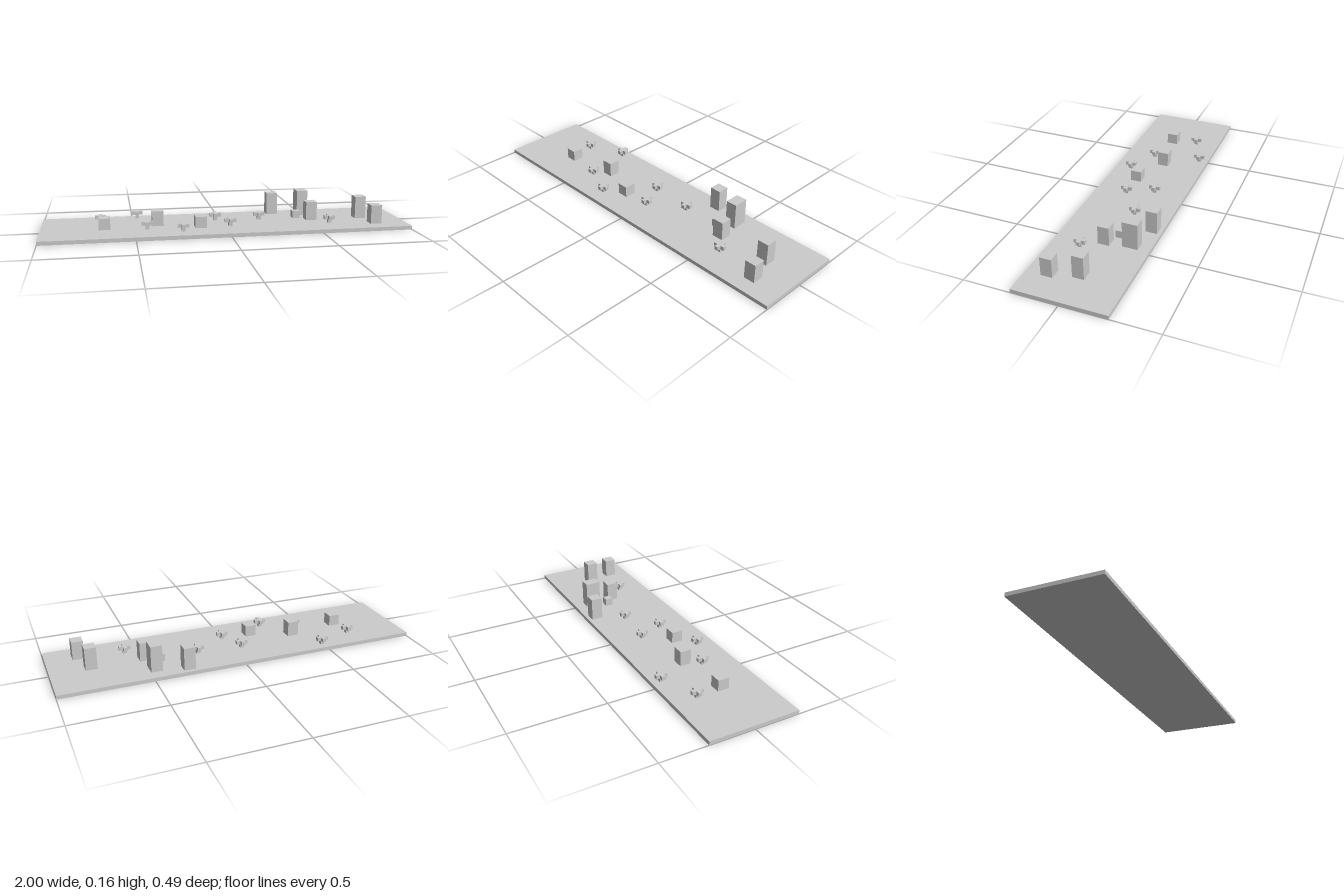
import * as THREE from 'three';

const U = 2 / 97; // one grid cell
const material = new THREE.MeshStandardMaterial({ color: 0xcccccc, flatShading: true });

// Box given in cells: centre x and z, bottom y, size
function box(name, x, y, z, w, h, d) {
  const mesh = new THREE.Mesh(new THREE.BoxGeometry(w * U, h * U, d * U), material);
  mesh.name = name;
  mesh.position.set(x * U, (y + h / 2) * U, z * U);
  return mesh;
}

// Plus-shaped slab, one cell thick, three cells across
function crownGeometry() {
  const a = U / 2, b = U * 1.5;
  const outline = [[a, -b], [a, -a], [b, -a], [b, a], [a, a], [a, b],
    [-a, b], [-a, a], [-b, a], [-b, -a], [-a, -a], [-a, -b]];
  const shape = new THREE.Shape(outline.map(([x, y]) => new THREE.Vector2(x, y)));
  const geometry = new THREE.ExtrudeGeometry(shape, { depth: U, bevelEnabled: false });
  return geometry.rotateX(-Math.PI / 2);
}

export function createModel() {
  const model = new THREE.Group();
  model.name = 'cityBlock';
  model.add(box('ground', 0, 0, 0, 97, 1, 24));

  // Buildings: x, z, width, height, depth
  const buildings = [
    [-32, 1.5, 3, 3, 3], [-18, -0.5, 3, 4, 3], [-7, 3.5, 3, 3, 3],
    [15, -9.5, 3, 6, 3], [23, -7, 3, 7, 4], [24, -0.5, 3, 5, 3],
    [38, -0.5, 3, 6, 3], [40, 6.5, 3, 5, 3],
  ];
  for (const [x, z, w, h, d] of buildings) model.add(box('building', x, 1, z, w, h, d));
  model.add(box('shed', 20.5, 1, -3, 2, 2, 2));

  // Trees: one-cell trunk under a plus-shaped crown
  const crown = crownGeometry();
  const trees = [[-33, -5.5], [-23, -9.5], [-21, 3.5], [-12, 7.5],
    [-2, -3.5], [1, 3.5], [10, -2.5], [28, 4.5]];
  for (const [x, z] of trees) {
    const tree = new THREE.Group();
    tree.name = 'tree';
    const leaves = new THREE.Mesh(crown, material);
    leaves.name = 'crown';
    leaves.position.y = 2 * U;
    tree.add(box('trunk', 0, 1, 0, 1, 1, 1), leaves);
    tree.position.set(x * U, 0, z * U);
    model.add(tree);
  }
  return model;
}
